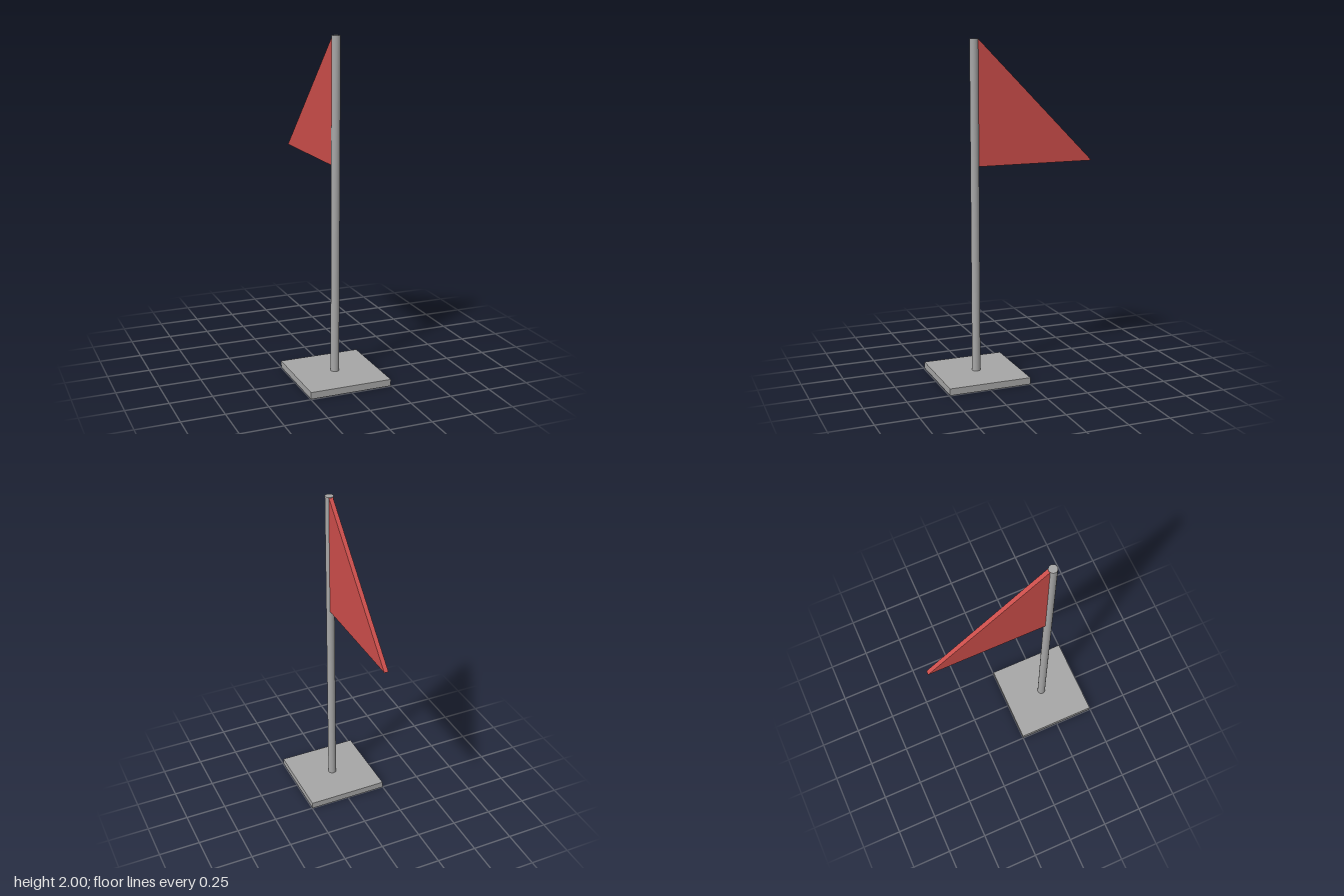
import * as THREE from 'three';

export function createModel() {
  const grey = new THREE.MeshStandardMaterial({ color: 0xa6a6a6 });
  grey.name = 'grey metal';
  const red = new THREE.MeshStandardMaterial({ color: 0xcc4d4a });
  red.name = 'red cloth';

  const model = new THREE.Group();
  model.name = 'pennantOnStand';
  const add = (name, geometry, material, x, y, z) => {
    const mesh = new THREE.Mesh(geometry, material);
    mesh.name = name;
    mesh.position.set(x, y, z);
    model.add(mesh);
  };

  const poleZ = 0.247;

  // Square foot plate
  add('base', new THREE.BoxGeometry(0.495, 0.04, 0.495), grey, 0, 0.02, poleZ);

  // Round pole standing on the plate
  add('pole', new THREE.CylinderGeometry(0.025, 0.025, 1.96, 32), grey, 0, 1.02, poleZ);

  // Triangular flag pointing backwards, drawn sideways and turned to -z
  const outline = new THREE.Shape([
    new THREE.Vector2(-0.227, 2),
    new THREE.Vector2(-0.227, 1.27),
    new THREE.Vector2(0.495, 1.27),
  ]);
  const flag = new THREE.ExtrudeGeometry(outline, { depth: 0.025, bevelEnabled: false });
  flag.translate(0, 0, -0.0125).rotateY(Math.PI / 2);
  add('flag', flag, red, 0, 0, 0);

  return model;
}
